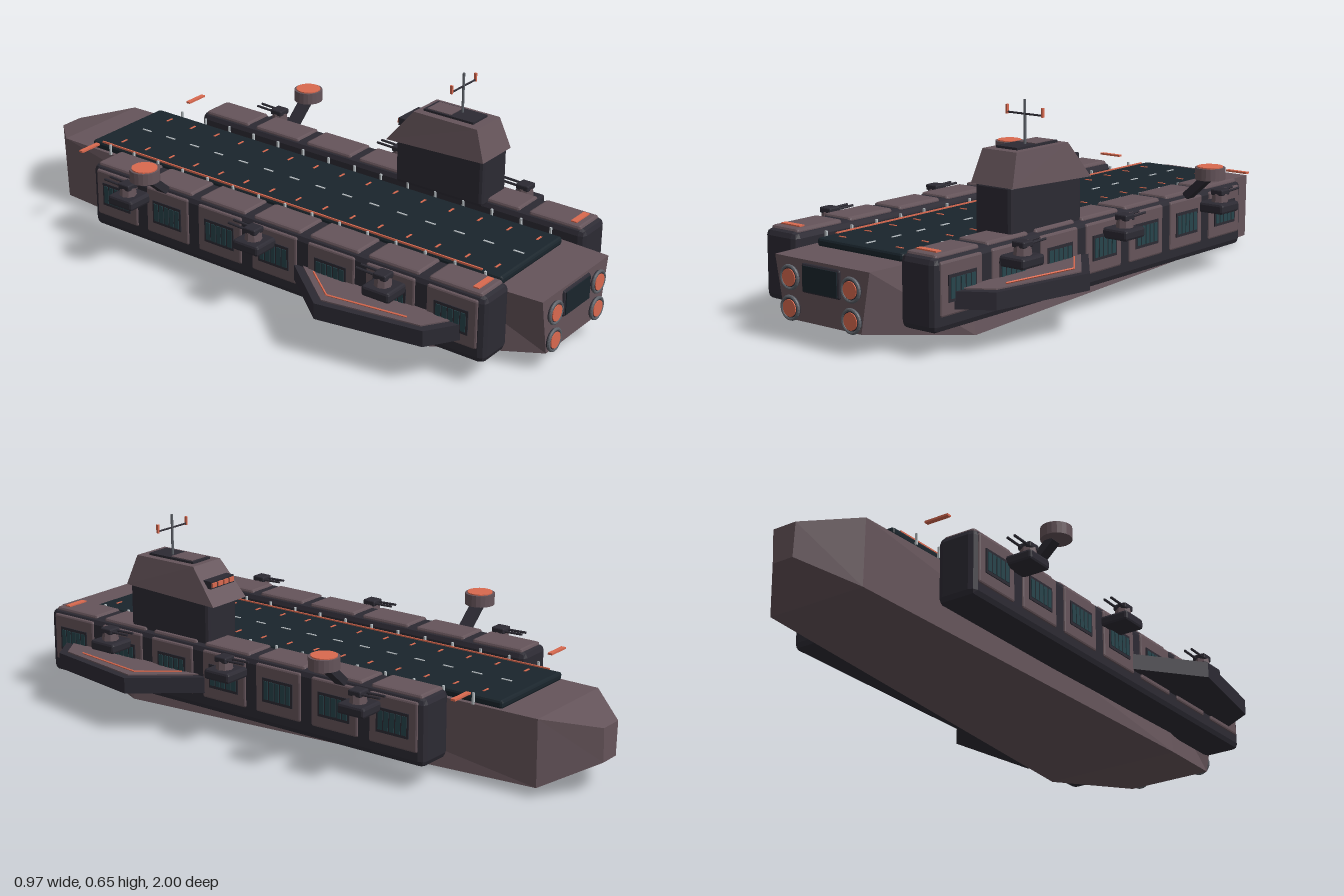
import * as THREE from 'three';
import { RoundedBoxGeometry } from 'three/addons/geometries/RoundedBoxGeometry.js';

const mat = (color, extra = {}) => {
  const m = new THREE.MeshStandardMaterial({ flatShading: true, ...extra });
  m.color.set(color);
  return m;
};
const plum = mat(0x65545a), dark = mat(0x2c2a33), deckMat = mat(0x1a252c);
const glass = mat(0x27444b), orange = mat(0xd9694f), steel = mat(0x5c6067), white = mat(0xb9c0c4);

export function createModel() {
  const root = new THREE.Group();
  const add = (name, geo, material, x = 0, y = 0, z = 0, parent = root) => {
    const m = new THREE.Mesh(geo, material);
    m.name = name;
    m.position.set(x, y, z);
    parent.add(m);
    return m;
  };
  // Box given by its limits on each axis; bevel > 0 chamfers the edges
  const span = (name, material, [x0, x1], [y0, y1], [z0, z1], bevel = 0, parent = root) => {
    const w = Math.abs(x1 - x0), h = y1 - y0, d = z1 - z0;
    const geo = bevel ? new RoundedBoxGeometry(w, h, d, 1, bevel) : new THREE.BoxGeometry(w, h, d);
    return add(name, geo, material, (x0 + x1) / 2, (y0 + y1) / 2, (z0 + z1) / 2, parent);
  };
  // Closed solid through rings of points, counter-clockwise seen from the last ring
  const loft = (rings) => {
    const pos = [], n = rings[0].length;
    const tri = (a, b, c) => pos.push(...a, ...b, ...c);
    for (let i = 0; i + 1 < rings.length; i++) {
      for (let j = 0; j < n; j++) {
        const k = (j + 1) % n, A = rings[i], B = rings[i + 1];
        tri(A[j], A[k], B[k]);
        tri(A[j], B[k], B[j]);
      }
    }
    const first = rings[0], last = rings[rings.length - 1];
    for (let j = 1; j + 1 < n; j++) {
      tri(last[0], last[j], last[j + 1]);
      tri(first[0], first[j + 1], first[j]);
    }
    const g = new THREE.BufferGeometry();
    g.setAttribute('position', new THREE.Float32BufferAttribute(pos, 3));
    g.computeVertexNormals();
    return g;
  };
  // Rod between two points
  const rod = (name, material, a, b, r, parent = root, sides = 8) => {
    const p = new THREE.Vector3(...a), d = new THREE.Vector3(...b).sub(p);
    const m = add(name, new THREE.CylinderGeometry(r, r, d.length(), sides), material, 0, 0, 0, parent);
    m.position.copy(p).addScaledVector(d, 0.5);
    m.quaternion.setFromUnitVectors(new THREE.Vector3(0, 1, 0), d.normalize());
    return m;
  };

  // Hull: z, top half width, bottom half width, bottom y, top y
  const sections = [
    [-1, 0.04, 0.035, 0.1, 0.205],
    [-0.86, 0.168, 0.165, 0.03, 0.238],
    [0.62, 0.2, 0.236, 0, 0.24],
    [0.985, 0.182, 0.148, 0.063, 0.24],
  ];
  add('hull', loft(sections.map(([z, t, b, y0, y1]) => [[-b, y0, z], [b, y0, z], [t, y1, z], [-t, y1, z]])), plum);

  // Flight deck with markings
  span('flightDeck', deckMat, [-0.165, 0.165], [0.238, 0.264], [-0.74, 0.84], 0.008);
  span('deckEdgeLine', orange, [-0.161, -0.156], [0.262, 0.268], [-0.7, 0.77]);
  for (let i = 0; i < 15; i++) {
    const z = -0.65 + i * 0.103;
    span('centreDash', white, [-0.003, 0.003], [0.262, 0.266], [z - 0.018, z + 0.018]);
    for (const s of [-1, 1]) {
      span('deckLight', orange, [s * 0.098, s * 0.124], [0.262, 0.266], [z - 0.003, z + 0.003]);
      span('edgeLamp', white, [s * 0.173, s * 0.18], [0.239, 0.274], [z - 0.003, z + 0.003]);
    }
  }

  // Stern: hangar door and engines
  span('hangarFrame', dark, [-0.073, 0.073], [0.147, 0.231], [0.97, 0.992], 0.006);
  span('hangarDoor', deckMat, [-0.066, 0.066], [0.153, 0.225], [0.98, 0.995]);
  for (const x of [-0.118, 0.118]) {
    for (const y of [0.097, 0.184]) {
      const engine = new THREE.Group();
      engine.name = 'engine';
      engine.position.set(x, y, 0.985);
      root.add(engine);
      add('engineRing', new THREE.TorusGeometry(0.032, 0.005, 8, 24), steel, 0, 0, 0.008, engine);
      add('engineHousing', new THREE.CylinderGeometry(0.033, 0.033, 0.02, 24).rotateX(Math.PI / 2), dark, 0, 0, 0, engine);
      add('engineGlow', new THREE.CylinderGeometry(0.025, 0.025, 0.02, 24).rotateX(Math.PI / 2), orange, 0, 0, 0.003, engine);
    }
  }

  // Everything carried on both sides
  for (const s of [-1, 1]) {
    const side = new THREE.Group();
    side.name = s > 0 ? 'leftSide' : 'rightSide';
    root.add(side);
    const box = (name, m, x, y, z, bevel) => span(name, m, [s * x[0], s * x[1]], y, z, bevel, side);

    // Side pod of seven armoured bays
    box('sidePod', dark, [0.2, 0.328], [0.07, 0.28], [-0.585, 0.89], 0.02);
    for (let i = 0; i < 7; i++) {
      const z = -0.48 + i * 0.2105;
      box('bayRoof', plum, [0.21, 0.317], [0.262, 0.287], [z - 0.09, z + 0.09], 0.008);
      box('bayPanel', plum, [0.315, 0.333], [0.115, 0.268], [z - 0.085, z + 0.085], 0.006);
      box('windowFrame', dark, [0.325, 0.336], [0.153, 0.229], [z - 0.057, z + 0.057]);
      for (let k = -2; k <= 2; k++) {
        box('windowPane', glass, [0.33, 0.338], [0.162, 0.22], [z + k * 0.021 - 0.008, z + k * 0.021 + 0.008]);
      }
    }
    box('sternMarker', orange, [0.225, 0.3], [0.284, 0.291], [0.83, 0.85]);
    box('bowMarker', orange, [0.22, 0.3], [0.286, 0.292], [-0.67, -0.655]);

    // Angled outrigger platform
    const platform = (name, m, pts, y, h) => {
      const shape = new THREE.Shape(pts.map(([x, z]) => new THREE.Vector2(s * x, -z)));
      const g = new THREE.ExtrudeGeometry(shape, { depth: h, bevelEnabled: false }).rotateX(-Math.PI / 2);
      add(name, g, m, 0, y, 0, side);
    };
    platform('platform', dark, [[0.31, 0.2], [0.487, 0.42], [0.43, 0.755], [0.31, 0.83]], 0.13, 0.05);
    platform('platformTop', plum, [[0.31, 0.235], [0.463, 0.427], [0.412, 0.735], [0.31, 0.8]], 0.178, 0.006);
    rod('platformStripe', orange, [s * 0.345, 0.187, 0.31], [s * 0.435, 0.187, 0.425], 0.003, side, 4);
    rod('platformStripe', orange, [s * 0.435, 0.187, 0.425], [s * 0.4, 0.187, 0.68], 0.003, side, 4);

    // Twin gun turrets
    for (const z of [-0.39, 0.11, 0.58]) {
      box('turretBase', dark, [0.322, 0.417], [0.213, 0.246], [z - 0.048, z + 0.048], 0.008);
      add('turretDrum', new THREE.CylinderGeometry(0.024, 0.027, 0.03, 8), plum, s * 0.376, 0.257, z, side);
      box('turretHead', dark, [0.354, 0.398], [0.267, 0.286], [z - 0.022, z + 0.022], 0.004);
      for (const x of [0.364, 0.388]) {
        rod('gunBarrel', dark, [s * x, 0.275, z], [s * x, 0.278, z - 0.085], 0.004, side);
      }
    }

    // Radar dish on a slanted arm
    const arm = box('radarArm', dark, [0.338, 0.362], [0.235, 0.36], [-0.308, -0.272]);
    arm.rotation.z = -s * 0.84;
    add('radarDrum', new THREE.CylinderGeometry(0.047, 0.047, 0.037, 20), plum, s * 0.405, 0.354, -0.29, side);
    add('radarCap', new THREE.CylinderGeometry(0.04, 0.04, 0.006, 20), orange, s * 0.405, 0.373, -0.29, side);
  }

  // Command tower
  const tower = new THREE.Group();
  tower.name = 'commandTower';
  root.add(tower);
  span('towerBase', dark, [0.175, 0.309], [0.265, 0.425], [0.23, 0.55], 0.012, tower);
  const ring = (x0, x1, z0, z1, yFront, yBack) =>
    [[x0, yFront, z1], [x1, yFront, z1], [x1, yBack, z0], [x0, yBack, z0]];
  add('bridge', loft([
    ring(0.165, 0.319, 0.2, 0.555, 0.418, 0.404),
    ring(0.179, 0.305, 0.29, 0.52, 0.515, 0.515),
  ]), plum, 0, 0, 0, tower);
  span('roofPlate', dark, [0.204, 0.282], [0.51, 0.522], [0.31, 0.49], 0, tower);
  span('roofHatch', plum, [0.21, 0.276], [0.515, 0.524], [0.32, 0.405], 0, tower);
  span('bridgeWindowFrame', dark, [0.188, 0.296], [0.452, 0.476], [0.228, 0.26], 0, tower);
  for (let i = 0; i < 4; i++) {
    const x = 0.202 + i * 0.0267;
    span('bridgeWindow', orange, [x - 0.01, x + 0.01], [0.457, 0.471], [0.223, 0.24], 0, tower);
  }

  // Mast and crossbar
  rod('mast', steel, [0.252, 0.51, 0.42], [0.252, 0.65, 0.42], 0.004, tower);
  rod('crossbar', dark, [0.187, 0.608, 0.42], [0.317, 0.608, 0.42], 0.003, tower);
  for (const x of [0.187, 0.317]) {
    span('mastLamp', orange, [x - 0.003, x + 0.003], [0.603, 0.63], [0.416, 0.424], 0, tower);
  }
  return root;
}
